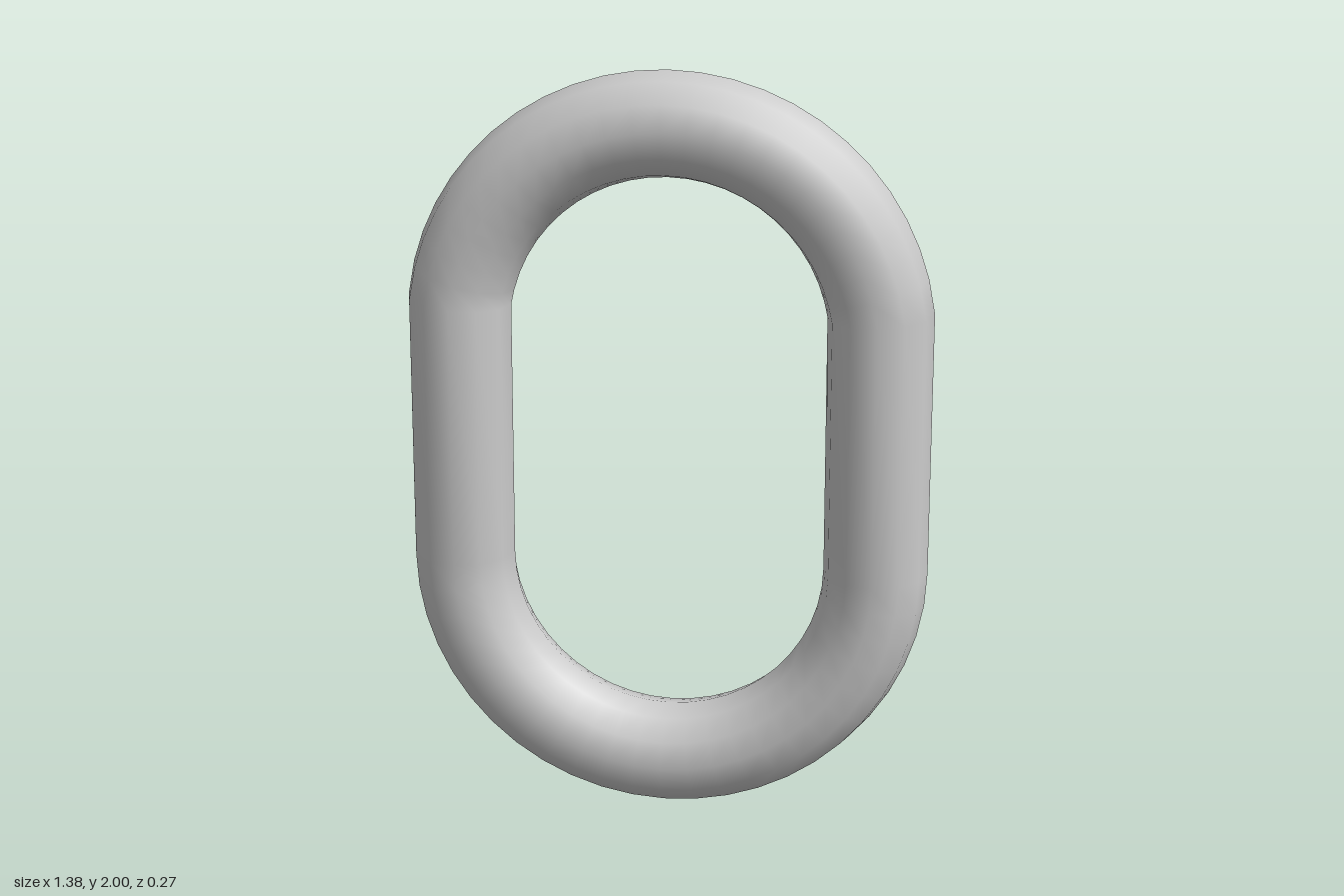
import * as THREE from 'three';

const TUBE = 0.137; // radius of the bar
const SIDES = 12; // facets around the bar
const STEPS = 24; // segments per rounded end

// Centre line of the link, counter-clockwise, each with its ring's outward angle
function linkPath() {
  const path = [];
  const arc = (radius, cy, from, to) => {
    for (let i = 0; i <= STEPS; i++) {
      const a = from + ((to - from) * i) / STEPS;
      // rings at the ends of an arc lean halfway towards the straight bar
      const atEnd = i === 0 || i === STEPS;
      const level = Math.cos(a) > 0 ? 0 : Math.PI;
      const lean = atEnd ? (a + (a > Math.PI * 1.5 ? 2 * Math.PI : level)) / 2 : a;
      path.push({ x: radius * Math.cos(a), y: cy + radius * Math.sin(a), lean });
    }
  };
  arc(0.555, 1.308, 0.14, Math.PI - 0.14); // top bend
  arc(0.553, 0.69, Math.PI, 2 * Math.PI); // bottom bend
  return path;
}

// Closed sweep of a round section along the path
function sweep(path) {
  const positions = [];
  const indices = [];
  const n = path.length;
  path.forEach(({ x, y, lean }, i) => {
    for (let j = 0; j < SIDES; j++) {
      const t = (j / SIDES) * Math.PI * 2;
      const out = TUBE * Math.cos(t);
      positions.push(x + out * Math.cos(lean), y + out * Math.sin(lean), TUBE * Math.sin(t));
      const i2 = (i + 1) % n;
      const j2 = (j + 1) % SIDES;
      const a = i * SIDES + j, b = i2 * SIDES + j;
      const c = i2 * SIDES + j2, d = i * SIDES + j2;
      indices.push(a, b, c, a, c, d);
    }
  });
  const geometry = new THREE.BufferGeometry();
  geometry.setAttribute('position', new THREE.Float32BufferAttribute(positions, 3));
  geometry.setIndex(indices);
  geometry.computeVertexNormals();
  return geometry;
}

export function createModel() {
  const group = new THREE.Group();
  group.name = 'chainLink';
  const link = new THREE.Mesh(
    sweep(linkPath()),
    new THREE.MeshStandardMaterial({ color: 0xcccccc })
  );
  link.name = 'link';
  group.add(link);
  return group;
}
